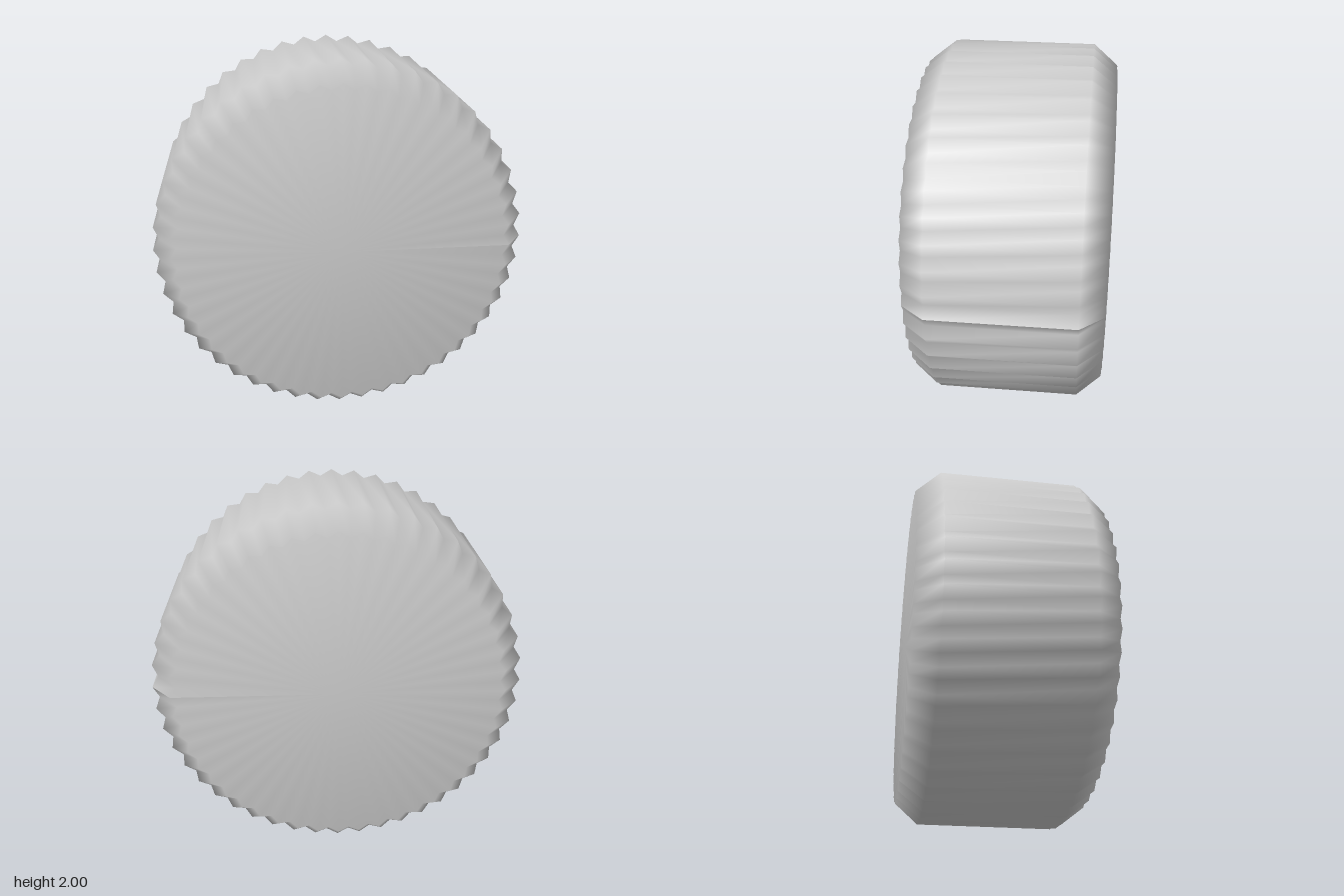
import * as THREE from 'three';

const TEETH = 48;
const VALLEY = 0.965; // groove radius relative to the ridge radius

export function createModel() {
  const group = new THREE.Group();
  group.name = 'knurledKnob';

  // Half section of the disc: flat faces with a chamfered rim
  const profile = [[0, -0.51], [0.89, -0.51], [1, -0.38], [1, 0.38], [0.9, 0.51], [0, 0.51]]
    .map(([r, y]) => new THREE.Vector2(r, y));
  const geometry = new THREE.LatheGeometry(profile, TEETH * 2, Math.PI / 2);

  // Pull in every second column to form the ridges
  const pos = geometry.attributes.position;
  for (let i = 0; i < pos.count; i++) {
    const column = Math.floor(i / profile.length);
    if (column % 2 === 1) {
      pos.setX(i, pos.getX(i) * VALLEY);
      pos.setZ(i, pos.getZ(i) * VALLEY);
    }
  }
  geometry.computeVertexNormals();

  // Turn the axis to the front and stand it on the ground
  geometry.rotateX(Math.PI / 2);
  const knob = new THREE.Mesh(geometry, new THREE.MeshStandardMaterial({ color: 0xcccccc }));
  knob.name = 'ridgedDisc';
  knob.position.y = 1;
  group.add(knob);
  return group;
}
